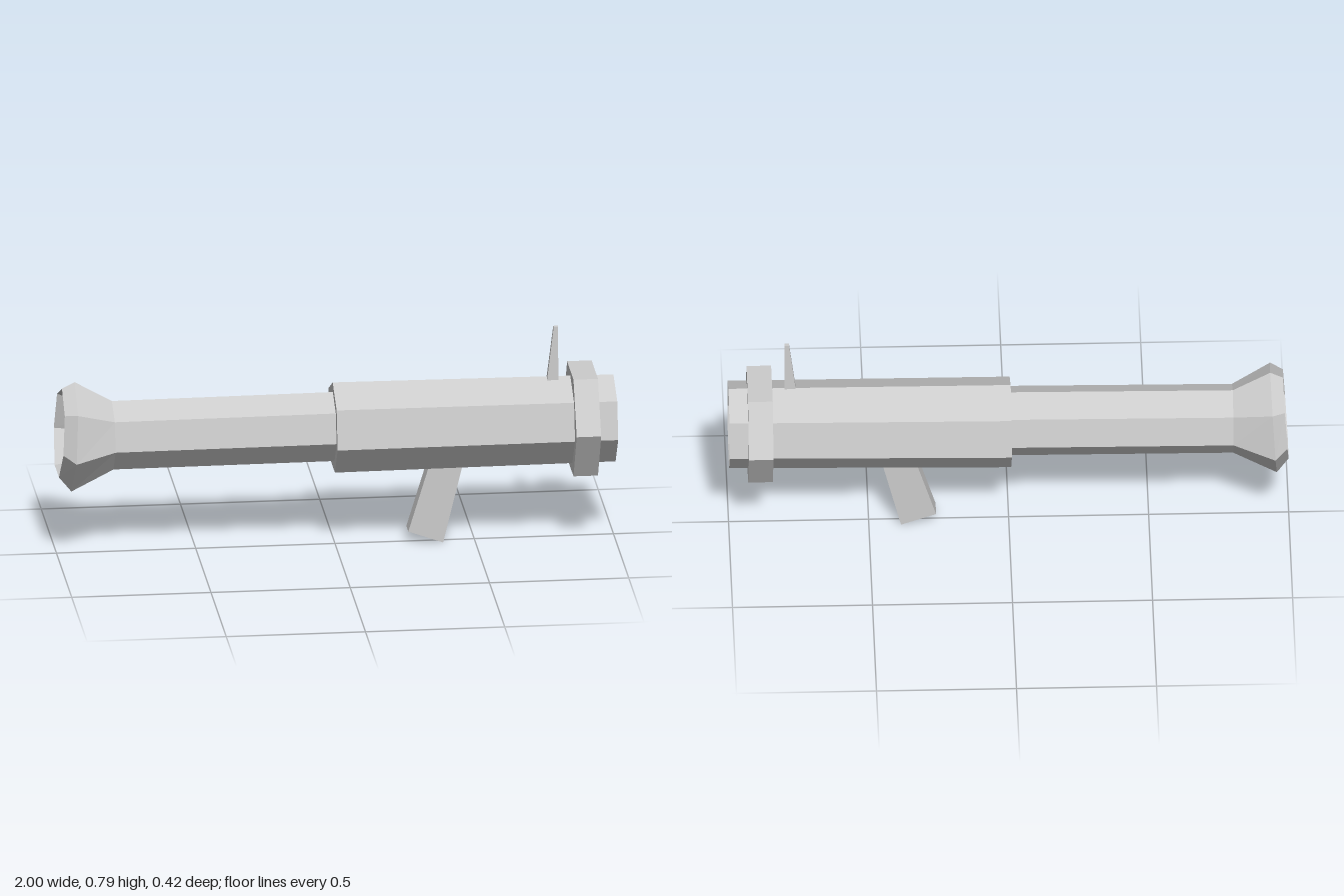
import * as THREE from 'three';

const material = new THREE.MeshStandardMaterial({ color: 0xcccccc, flatShading: true });

function addMesh(group, geometry, name) {
  const mesh = new THREE.Mesh(geometry, material);
  mesh.name = name;
  group.add(mesh);
}

// Joins polygon rings laid along x; each ring is { x, r, y, z, tilt }
function ringBody(rings, sides, turn = 0) {
  const point = ({ x, r, y = 0.437, z = 0, tilt = 0 }, i) => {
    const a = turn + (i / sides) * Math.PI * 2;
    const up = r * Math.cos(a);
    return [x + tilt * up, y + up, z + r * Math.sin(a)];
  };
  const out = [];
  for (let k = 0; k < rings.length - 1; k++) {
    const [p, q] = [rings[k], rings[k + 1]];
    for (let i = 0; i < sides; i++) {
      const [a, b, c, d] = [point(p, i), point(p, i + 1), point(q, i), point(q, i + 1)];
      if (p.r > 0) out.push(...a, ...b, ...c);
      if (q.r > 0) out.push(...b, ...d, ...c);
    }
  }
  const geometry = new THREE.BufferGeometry();
  geometry.setAttribute('position', new THREE.Float32BufferAttribute(out, 3));
  geometry.computeVertexNormals();
  return geometry;
}

// Slab with a side outline in x and y, between two z values
function slab(points, z0, z1) {
  const shape = new THREE.Shape(points.map(([x, y]) => new THREE.Vector2(x, y)));
  const geometry = new THREE.ExtrudeGeometry(shape, { depth: z1 - z0, bevelEnabled: false });
  return geometry.translate(0, 0, z0);
}

export function createModel() {
  const group = new THREE.Group();
  group.name = 'launcher';

  // Thin rear tube with its slightly tilted, hollow flare
  const z = -0.01;
  addMesh(group, ringBody([
    { x: -0.82, r: 0, z },
    { x: -0.82, r: 0.1, z },
    { x: -0.989, r: 0.163, y: 0.452, z, tilt: 0.06 },
    { x: -0.945, r: 0.201, z, tilt: 0.055 },
    { x: -0.8, r: 0.126, y: 0.436, z },
    { x: 0.02, r: 0.127, y: 0.441, z: -0.007 },
    { x: 0.02, r: 0, y: 0.441, z: -0.007 },
  ], 7), 'rearTube');

  // Thick front barrel with a recessed muzzle
  addMesh(group, ringBody([
    { x: -0.007, r: 0, z },
    { x: -0.007, r: 0.166, z },
    { x: 1, r: 0.16, y: 0.44 },
    { x: 0.93, r: 0.108, y: 0.44 },
    { x: 0.93, r: 0, y: 0.44 },
  ], 7), 'frontBarrel');

  // Hexagonal collar, a ring around the barrel
  addMesh(group, ringBody([
    { x: 0.845, r: 0.13 },
    { x: 0.845, r: 0.21 },
    { x: 0.933, r: 0.21 },
    { x: 0.933, r: 0.13 },
  ].map((ring) => ({ ...ring, y: 0.4385 })), 6, Math.PI / 6), 'muzzleCollar');

  // Slanted grip
  addMesh(group, slab([[0.26, 0.045], [0.385, 0], [0.47, 0.35], [0.353, 0.35]], -0.035, 0.03), 'grip');

  // Sight post, narrowing towards the tip
  const sight = slab([[0.757, 0.57], [0.8, 0.57], [0.8, 0.79], [0.784, 0.79]], -0.007, 0.017);
  const pos = sight.attributes.position;
  for (let i = 0; i < pos.count; i++) {
    if (pos.getY(i) > 0.7) pos.setZ(i, pos.getZ(i) > 0 ? 0.014 : -0.002);
  }
  sight.computeVertexNormals();
  addMesh(group, sight, 'sightPost');

  return group;
}
